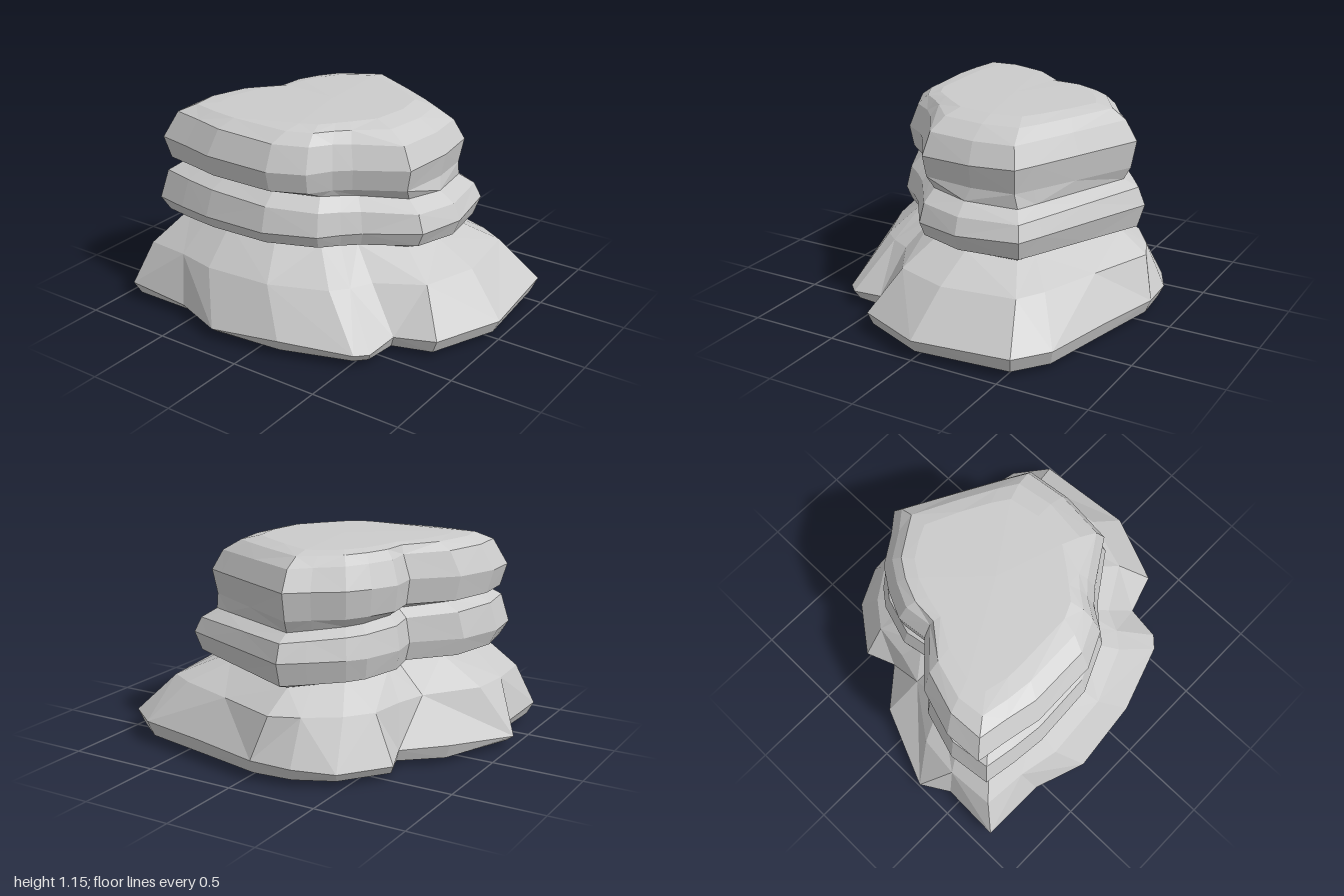
import * as THREE from 'three';

// Plan outlines as [x, z], matched point for point, clockwise from the back
const foot = [[-0.04, -0.87], [0.36, -0.78], [0.77, -0.69], [0.95, -0.55], [1, 0], [0.84, 0.38], [0.62, 0.45],
  [0.6, 0.64], [0.54, 0.7], [0.15, 0.83], [-0.26, 0.87], [-0.55, 0.77], [-0.92, 0.77], [-0.91, 0.44],
  [-1, 0.28], [-0.82, -0.15], [-0.61, -0.33], [-0.67, -0.5], [-0.48, -0.75], [-0.27, -0.85]];
const middle = [[-0.14, -0.77], [0.2, -0.615], [0.5, -0.48], [0.63, -0.42], [0.69, -0.08], [0.62, 0.18], [0.36, 0.36],
  [0.28, 0.44], [0.2, 0.54], [-0.07, 0.66], [-0.43, 0.68], [-0.62, 0.66], [-0.8, 0.63], [-0.83, 0.4],
  [-0.75, 0.14], [-0.53, -0.07], [-0.56, -0.24], [-0.49, -0.46], [-0.42, -0.55], [-0.26, -0.68]];
const upper = [[-0.14, -0.71], [0.2, -0.535], [0.44, -0.41], [0.55, -0.35], [0.58, -0.1], [0.55, 0.2], [0.3, 0.36],
  [0.22, 0.43], [0.14, 0.55], [-0.05, 0.64], [-0.43, 0.65], [-0.62, 0.61], [-0.8, 0.58], [-0.81, 0.37],
  [-0.73, 0.12], [-0.53, -0.08], [-0.55, -0.25], [-0.48, -0.4], [-0.4, -0.52], [-0.25, -0.62]];
const crown = [[-0.13, -0.47], [0.05, -0.39], [0.2, -0.31], [0.29, -0.25], [0.32, -0.08], [0.29, 0.12], [0.2, 0.24],
  [0.15, 0.3], [0.09, 0.37], [0, 0.41], [-0.3, 0.42], [-0.42, 0.42], [-0.55, 0.39], [-0.57, 0.28],
  [-0.52, 0.1], [-0.43, -0.05], [-0.4, -0.17], [-0.36, -0.28], [-0.3, -0.37], [-0.21, -0.43]];
// Uneven height of the foot's rim, point for point
const rimHeight = [0.11, 0.12, 0.12, 0.12, 0.11, 0.11, 0.1, 0.08, 0.08, 0.1,
  0.06, 0.07, 0.1, 0.09, 0.06, 0.11, 0.1, 0.08, 0.08, 0.1];
const N = foot.length;

// One ring: an outline scaled about the core, at height y, tilted along x and z
const ring = (outline, scale, y, tiltX = 0, tiltZ = 0) => outline.map(([x, z]) => {
  const px = -0.05 + (x + 0.05) * scale, pz = z * scale;
  return [px, y + tiltX * px + tiltZ * pz, pz];
});
const blend = (a, b, t) => a.map(([x, z], i) => [x + (b[i][0] - x) * t, z + (b[i][1] - z) * t]);

// Faceted loft through rings, with an optional centre point closing either end
function loft(name, rings, bottom, top) {
  const pos = rings.flat(2), index = [];
  for (let r = 0; r < rings.length - 1; r++) {
    for (let i = 0; i < N; i++) {
      const a = r * N + i, b = r * N + (i + 1) % N, c = b + N, d = a + N;
      if ((i + r) % 2) index.push(b, a, d, b, d, c);
      else index.push(b, a, c, a, d, c);
    }
  }
  const cap = (centre, start, up) => {
    const k = pos.length / 3;
    pos.push(...centre);
    for (let i = 0; i < N; i++) {
      const a = start + i, b = start + (i + 1) % N;
      index.push(k, up ? b : a, up ? a : b);
    }
  };
  if (bottom) cap(bottom, 0, false);
  if (top) cap(top, (rings.length - 1) * N, true);
  const geometry = new THREE.BufferGeometry();
  geometry.setAttribute('position', new THREE.Float32BufferAttribute(pos, 3));
  geometry.setIndex(index);
  geometry.computeVertexNormals();
  const mesh = new THREE.Mesh(geometry, new THREE.MeshStandardMaterial({ color: 0xcccccc, flatShading: true }));
  mesh.name = name;
  return mesh;
}

export function createModel() {
  const group = new THREE.Group();
  group.name = 'layeredRock';

  // Creases shared by neighbouring layers
  const lowCrease = ring(middle, 0.83, 0.485, -0.04, 0.06);
  const highCrease = ring(middle, 0.84, 0.77, -0.05, 0.05);

  // Flared foot with an uneven rim
  group.add(loft('rockBase', [
    ring(foot, 0.82, 0.012),
    ring(foot, 0.965, 0.035),
    foot.map(([x, z], i) => [x, rimHeight[i], z]),
    ring(blend(foot, middle, 0.67), 1, 0.34),
    lowCrease,
  ], [0, 0, 0]));

  // Middle slab
  group.add(loft('middleSlab', [
    lowCrease,
    ring(middle, 0.95, 0.507, -0.01, 0.035),
    ring(middle, 1, 0.6, -0.02, -0.01),
    ring(middle, 0.95, 0.715, -0.055, 0.02),
    highCrease,
  ]));

  // Top slab with rounded shoulders and a nearly level crown
  group.add(loft('topSlab', [
    highCrease,
    ring(upper, 0.96, 0.815, -0.01, 0.01),
    ring(upper, 1, 0.945, -0.02, -0.02),
    ring(upper, 0.91, 1.068, -0.035),
    ring(blend(upper, crown, 0.6), 1, 1.122, -0.02),
    ring(crown, 1, 1.142),
  ], null, [-0.08, 1.15, 0]));

  return group;
}
